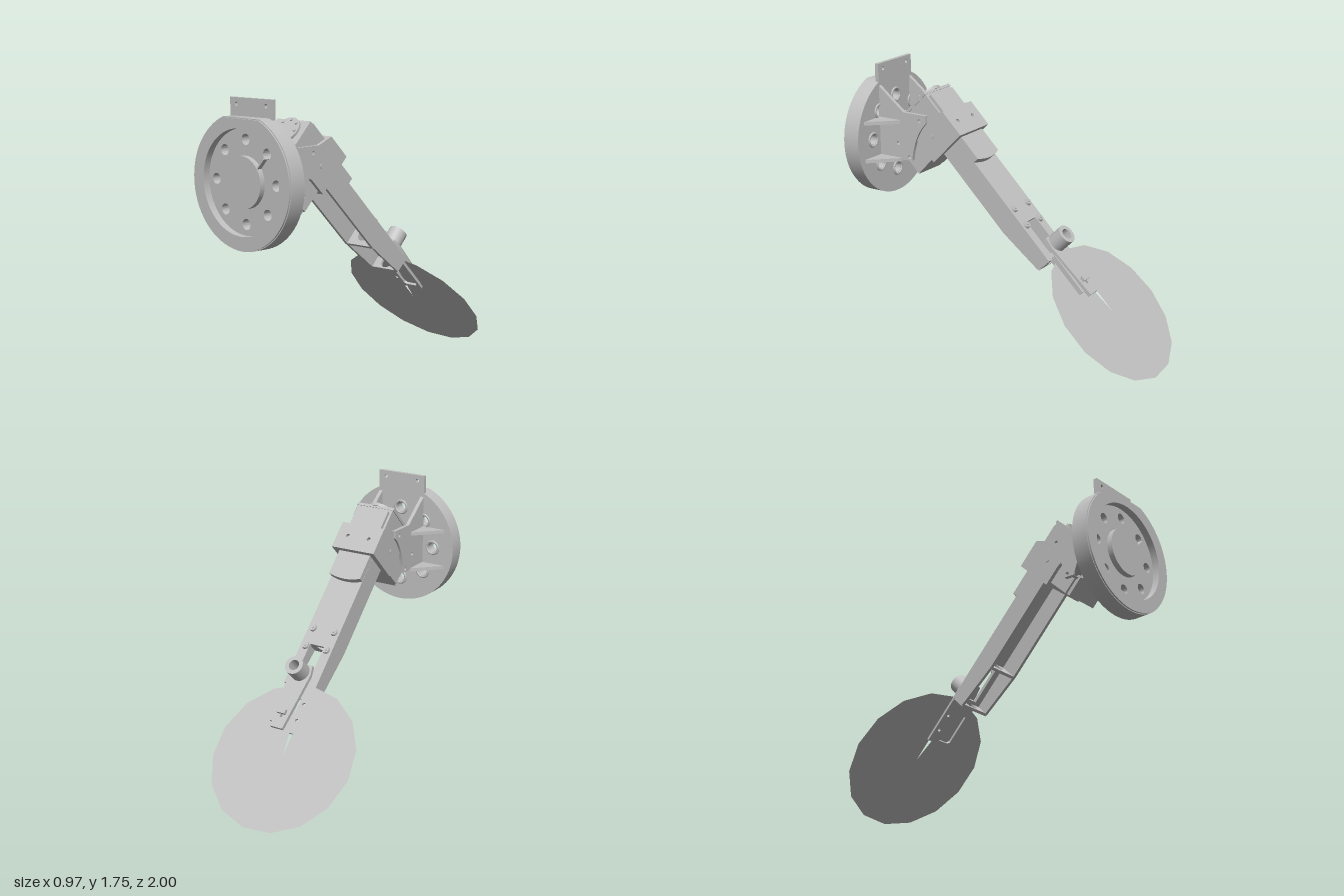
import * as THREE from 'three';
import { toCreasedNormals } from 'three/addons/utils/BufferGeometryUtils.js';

const CX = 0.09; // centre line of the mechanism

export function createModel() {
  const grey = new THREE.MeshStandardMaterial({ color: 0xc0c0c0, side: THREE.DoubleSide });
  grey.name = 'plain grey';
  const model = new THREE.Group();
  model.name = 'jointedArm';

  const add = (parent, name, geo, x = 0, y = 0, z = 0) => {
    const m = new THREE.Mesh(geo, grey);
    m.name = name;
    m.position.set(x, y, z);
    parent.add(m);
    return m;
  };
  const shapeOf = (pts, holes = []) => {
    const s = new THREE.Shape(pts.map(([x, y]) => new THREE.Vector2(x, y)));
    for (const [x, y, r] of holes) s.holes.push(new THREE.Path().absarc(x, y, r, 0, Math.PI * 2, true));
    return s;
  };
  const extrude = (shape, depth) => toCreasedNormals(
    new THREE.ExtrudeGeometry(shape, { depth, bevelEnabled: false, curveSegments: 32 }), 0.6);
  // Side profile given as [z, y], running from x0 to x1
  const side = (parent, name, pts, x0, x1, holes = []) => add(parent, name,
    extrude(shapeOf(pts.map(([z, y]) => [-z, y]), holes.map(([z, y, r]) => [-z, y, r])), x1 - x0).rotateY(Math.PI / 2), x0);
  // Plan profile given as [x, z], running from y0 to y1
  const plan = (parent, name, pts, y0, y1, holes = [], slot) => {
    const s = shapeOf(pts.map(([x, z]) => [x, -z]), holes.map(([x, z, r]) => [x, -z, r]));
    if (slot) s.holes.push(new THREE.Path(slot.map(([x, z]) => new THREE.Vector2(x, -z))));
    return add(parent, name, extrude(s, y1 - y0).rotateX(-Math.PI / 2), 0, y0);
  };
  const box = (parent, name, x0, x1, y0, y1, z0, z1) => add(parent, name,
    new THREE.BoxGeometry(x1 - x0, y1 - y0, z1 - z0), (x0 + x1) / 2, (y0 + y1) / 2, (z0 + z1) / 2);
  const rect = (x0, x1, z0, z1) => [[x0, z0], [x1, z0], [x1, z1], [x0, z1]];
  const arc = (cx, cy, r, a0, a1, n) => Array.from({ length: n + 1 }, (_, i) => {
    const a = a0 + (a1 - a0) * i / n;
    return [cx + r * Math.cos(a), cy + r * Math.sin(a)];
  });
  const mirrorX = (fn) => [-1, 1].forEach(fn);

  // ---- Round base ----
  const base = new THREE.Group();
  base.name = 'base';
  model.add(base);
  const CY = 1.283, R = 0.395;
  const boltHoles = Array.from({ length: 8 }, (_, i) => {
    const a = i * Math.PI / 4;
    return [CX + 0.243 * Math.cos(a), CY + 0.243 * Math.sin(a), 0.032];
  });
  const web = shapeOf(arc(CX, CY, 0.32, 0, Math.PI * 2, 64).slice(0, -1), boltHoles);
  add(base, 'baseWeb', extrude(web, 0.07), 0, 0, 0.885);
  const outline = arc(CX, CY, R, Math.PI * 0.5 + 0.38, Math.PI * 2.5 - 0.38, 72);
  const rim = (r) => shapeOf([...outline.map(([x, y]) => [CX + (x - CX) * r, CY + (y - CY) * r])], [[CX, CY, 0.308]]);
  add(base, 'baseRim', extrude(rim(1), 0.105), 0, 0, 0.885);
  add(base, 'baseRimFront', extrude(rim(0.985), 0.01), 0, 0, 0.99);
  add(base, 'baseHub', new THREE.CylinderGeometry(0.152, 0.152, 0.1, 48).rotateX(Math.PI / 2), CX, CY, 0.94);
  const key = add(base, 'hubKey', new THREE.BoxGeometry(0.1, 0.008, 0.04), CX + 0.14, CY + 0.11, 0.965);
  key.rotation.z = 0.85;
  for (const [x, y] of boltHoles)
    add(base, 'boltBoss', new THREE.TorusGeometry(0.042, 0.008, 8, 24), x, y, 0.885);

  // Top flange with two holes
  add(base, 'topFlange', extrude(shapeOf(rect(-0.08, 0.26, 1.6, 1.755),
    [[-0.03, 1.717, 0.012], [0.21, 1.717, 0.012]]), 0.025), 0, 0, 0.885);

  // Cheek plates with tall ribs, plus sloping gussets on the outside
  const curve = new THREE.QuadraticBezierCurve(new THREE.Vector2(0.53, 1.42),
    new THREE.Vector2(0.62, 1.33), new THREE.Vector2(0.64, 1.165)).getPoints(10).map(p => [p.x, p.y]);
  const cheek = [[0.89, 1.62], [0.7, 1.47], [0.53, 1.47], ...curve, [0.73, 1.16], [0.89, 1.13]];
  mirrorX(s => {
    const x = CX + s * 0.157;
    side(base, 'cheekPlate', cheek, x - 0.012, x + 0.012,
      [[0.58, 1.43, 0.012], [0.745, 1.265, 0.012], [0.66, 1.185, 0.012]]);
    for (const y of [1.15, 1.395])
      plan(base, 'gusset', [[CX + s * 0.16, 0.72], [CX + s * 0.185, 0.73], [CX + s * 0.335, 0.89], [CX + s * 0.16, 0.89]], y, y + 0.022);
    box(base, 'innerRib', CX + s * 0.085 - 0.01, CX + s * 0.085 + 0.01, 1.16, 1.4, 0.7, 0.89);
  });
  box(base, 'crossPlate', CX - 0.16, CX + 0.16, 1.16, 1.41, 0.685, 0.708);

  // ---- Everything beyond the base lies on a 45 degree slope: y is above it, z runs up it ----
  const arm = new THREE.Group();
  arm.name = 'arm';
  arm.rotation.x = -Math.PI / 4;
  model.add(arm);

  // Motor
  box(arm, 'motorBody', -0.04, 0.22, 0.335, 0.735, 1.2, 1.525);
  box(arm, 'motorFoot', -0.025, 0.205, 0.31, 0.336, 1.2, 1.33);
  box(arm, 'motorTop', -0.025, 0.205, 0.734, 0.757, 1.3, 1.5);
  box(arm, 'motorFace', -0.045, 0.225, 0.4, 0.738, 1.52, 1.538);
  add(arm, 'motorFlange', new THREE.CylinderGeometry(0.095, 0.095, 0.02, 32).rotateX(Math.PI / 2), CX, 0.65, 1.543);
  for (let i = 0; i < 8; i++) {
    const a = i * Math.PI / 4;
    add(arm, 'flangeScrew', new THREE.CylinderGeometry(0.009, 0.009, 0.012, 10).rotateX(Math.PI / 2),
      CX + 0.075 * Math.cos(a), 0.65 + 0.075 * Math.sin(a), 1.554);
  }

  // Fork: two rounded ears joined by a top and an end wall
  const ear = [[1.175, 0.777], [1.36, 0.777], ...arc(1.3, 0.6, 0.125, 0.55, -1.2, 12), [1.3, 0.49], [1.175, 0.49]];
  mirrorX(s => {
    const x = CX + s * 0.143;
    side(arm, 'forkEar', ear, x - 0.012, x + 0.012);
    add(arm, 'pivotPin', new THREE.CylinderGeometry(0.014, 0.014, 0.012, 16).rotateZ(Math.PI / 2), CX + s * 0.155, 0.6, 1.3);
  });
  plan(arm, 'forkTop', rect(CX - 0.155, CX + 0.155, 1.175, 1.36), 0.757, 0.778,
    [[CX - 0.078, 1.27, 0.013], [CX + 0.078, 1.27, 0.013]]);
  box(arm, 'forkEnd', CX - 0.15, CX + 0.15, 0.49, 0.765, 1.175, 1.2);

  // Collar with a curved front edge
  const lip = new THREE.QuadraticBezierCurve(new THREE.Vector2(-0.027, 1.005),
    new THREE.Vector2(CX - 0.005, 0.965), new THREE.Vector2(0.202, 1.005)).getPoints(12).map(p => [p.x, p.y]);
  plan(arm, 'collar', [...lip, [0.202, 1.18], [-0.027, 1.18]], 0.7, 0.745);

  // Tapered channel, open underneath
  const wall = [[0.24, 0.707], [1.18, 0.707], [1.18, 0.56], [0.557, 0.56], [0.247, 0.6]];
  side(arm, 'channelWall', wall, -0.028, -0.008);
  side(arm, 'channelWall', wall, 0.182, 0.202);
  plan(arm, 'channelTop', rect(-0.028, 0.202, 0.24, 1.18), 0.685, 0.707, [],
    rect(0.037, 0.14, 0.28, 0.523));
  add(arm, 'crossWall', extrude(shapeOf(rect(-0.02, 0.195, 0.56, 0.7), [[CX - 0.003, 0.64, 0.045]]), 0.018), 0, 0, 0.54);
  add(arm, 'endWall', extrude(shapeOf([[-0.02, 0.6], [0.195, 0.6], [0.195, 0.67], [0.15, 0.706], [0.03, 0.706], [-0.02, 0.67]],
    [[CX - 0.003, 0.655, 0.045]]), 0.018), 0, 0, 0.24);
  for (const z of [0.505, 0.63]) for (const x of [0.01, 0.164]) {
    add(arm, 'screwHead', new THREE.CylinderGeometry(0.021, 0.024, 0.016, 16), x, 0.714, z);
    add(arm, 'screwSocket', new THREE.CylinderGeometry(0.01, 0.01, 0.006, 6), x, 0.724, z);
  }

  // Lower tool plate with slot and two holes
  plan(arm, 'toolPlate', rect(-0.03, 0.163, -0.068, 0.25), 0.69, 0.706,
    [[0.004, 0.13, 0.011], [0.004, 0.02, 0.011]],
    [[0.05, -0.045], [0.125, -0.045], [0.14, -0.03], [0.14, 0.16], [0.035, 0.16], [0.035, -0.03]]);

  // Upper tapered bracket carrying a tubular boss
  plan(arm, 'bracket', [[0.045, -0.07], [0.133, -0.07], [0.162, 0.3], [0.15, 0.368], [0.025, 0.368], [0.012, 0.3]],
    0.733, 0.757, [[CX - 0.003, 0.31, 0.034]], [[0.072, 0.0], [0.095, 0.0], [0.095, 0.06]]);
  box(arm, 'bracketRail', 0.143, 0.163, 0.7, 0.74, -0.03, 0.25);
  box(arm, 'bracketToe', 0.06, 0.12, 0.755, 0.778, 0.02, 0.05);
  const tube = [[0.034, 0], [0.06, 0], [0.06, 0.125], [0.034, 0.125], [0.034, 0]].map(([r, h]) => new THREE.Vector2(r, h));
  add(arm, 'boss', toCreasedNormals(new THREE.LatheGeometry(tube, 32), 0.6), CX - 0.003, 0.732, 0.31);

  // Thin faceted disc with a narrow missing slice
  add(arm, 'thinDisc', new THREE.CircleGeometry(0.481, 15, Math.PI / 2, THREE.MathUtils.degToRad(351)).rotateX(Math.PI / 2),
    -0.01, 0.7085, -0.226);

  return model;
}
